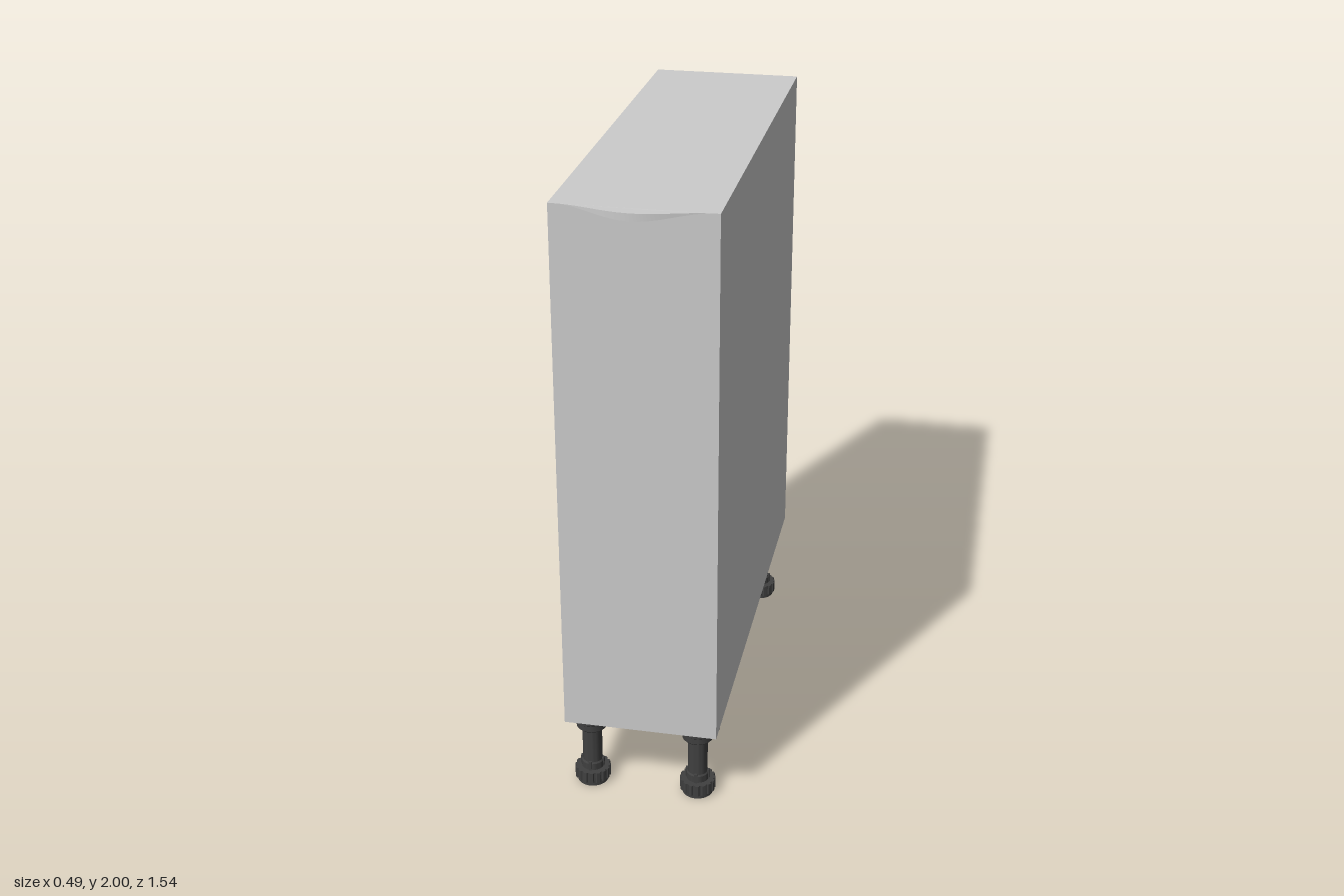
import * as THREE from 'three';
import { toCreasedNormals, mergeVertices } from 'three/addons/utils/BufferGeometryUtils.js';

const grey = new THREE.MeshStandardMaterial({ color: 0xcccccc });
const dark = new THREE.MeshStandardMaterial({ color: 0x404040 });

function part(name, geometry, material, x = 0, y = 0, z = 0) {
  const mesh = new THREE.Mesh(geometry, material);
  mesh.name = name;
  mesh.position.set(x, y, z);
  return mesh;
}

// Wedge-shaped finger pull: bell curve in plan, thicker towards its front edge
function pullGeometry() {
  const half = 0.24, reach = 0.045, steps = 32;
  const shape = new THREE.Shape();
  shape.moveTo(-half, 0);
  shape.lineTo(half, 0);
  for (let i = 1; i < steps; i++) {
    const x = half - (2 * half * i) / steps;
    shape.lineTo(x, reach * 0.5 * (1 + Math.cos((Math.PI * x) / half)));
  }
  shape.closePath();
  const g = new THREE.ExtrudeGeometry(shape, { depth: 1, bevelEnabled: false });
  g.rotateX(Math.PI / 2);
  const p = g.attributes.position;
  for (let i = 0; i < p.count; i++) p.setY(i, p.getY(i) * 0.52 * p.getZ(i));
  g.computeVertexNormals();
  return toCreasedNormals(g, 0.5);
}

// Turned part from [radius, height] pairs, listed bottom to top
function turned(profile) {
  const g = new THREE.LatheGeometry(profile.map(([r, y]) => new THREE.Vector2(r, y)), 32);
  return toCreasedNormals(mergeVertices(g), 0.5);
}

// Knurled foot ring with alternating ridges and grooves
function knurlGeometry() {
  const ridges = 16, shape = new THREE.Shape();
  for (let i = 0; i < ridges; i++) {
    [[0, 0.053], [0.15, 0.058], [0.6, 0.058], [0.75, 0.053]].forEach(([t, r], k) => {
      const a = ((i + t) / ridges) * Math.PI * 2;
      const x = r * Math.cos(a), y = r * Math.sin(a);
      if (i + k === 0) shape.moveTo(x, y);
      else shape.lineTo(x, y);
    });
  }
  shape.closePath();
  const g = new THREE.ExtrudeGeometry(shape, { depth: 0.038, bevelEnabled: false });
  return g.rotateX(-Math.PI / 2);
}

export function createModel() {
  const model = new THREE.Group();
  model.name = 'baseCabinet';

  // Cabinet body and finger pull
  model.add(part('cabinetBody', new THREE.BoxGeometry(0.494, 1.745, 1.496), grey, 0, 1.1275, -0.023));
  model.add(part('fingerPull', pullGeometry(), grey, 0, 2, 0.725));

  // Adjustable legs
  const flange = turned([[0, 0.205], [0.044, 0.205], [0.05, 0.211], [0.05, 0.236],
    [0.062, 0.24], [0.071, 0.247], [0.071, 0.255], [0, 0.255]]);
  const stem = turned([[0, 0.05], [0.036, 0.05], [0.036, 0.075], [0.032, 0.08], [0.032, 0.21], [0, 0.21]]);
  const base = turned([[0, 0], [0.05, 0], [0.05, 0.016], [0, 0.016]]);
  const knurl = knurlGeometry();
  const rib = new THREE.BoxGeometry(0.01, 0.035, 0.078);
  for (const x of [-0.175, 0.175]) {
    for (const z of [0.655, -0.622]) {
      const leg = new THREE.Group();
      leg.name = (z > 0 ? 'front' : 'back') + (x > 0 ? 'Left' : 'Right') + 'Leg';
      leg.position.set(x, 0, z);
      leg.add(part('mountingFlange', flange, dark));
      leg.add(part('stem', stem, dark));
      leg.add(part('footBase', base, dark));
      leg.add(part('footKnurl', knurl, dark, 0, 0.014, 0));
      // Small clips around the bottom of the stem
      for (let i = 0; i < 2; i++) {
        const clip = part('stemClip', rib, dark, 0, 0.067, 0);
        clip.rotation.y = (i * Math.PI) / 2;
        leg.add(clip);
      }
      model.add(leg);
    }
  }
  return model;
}
